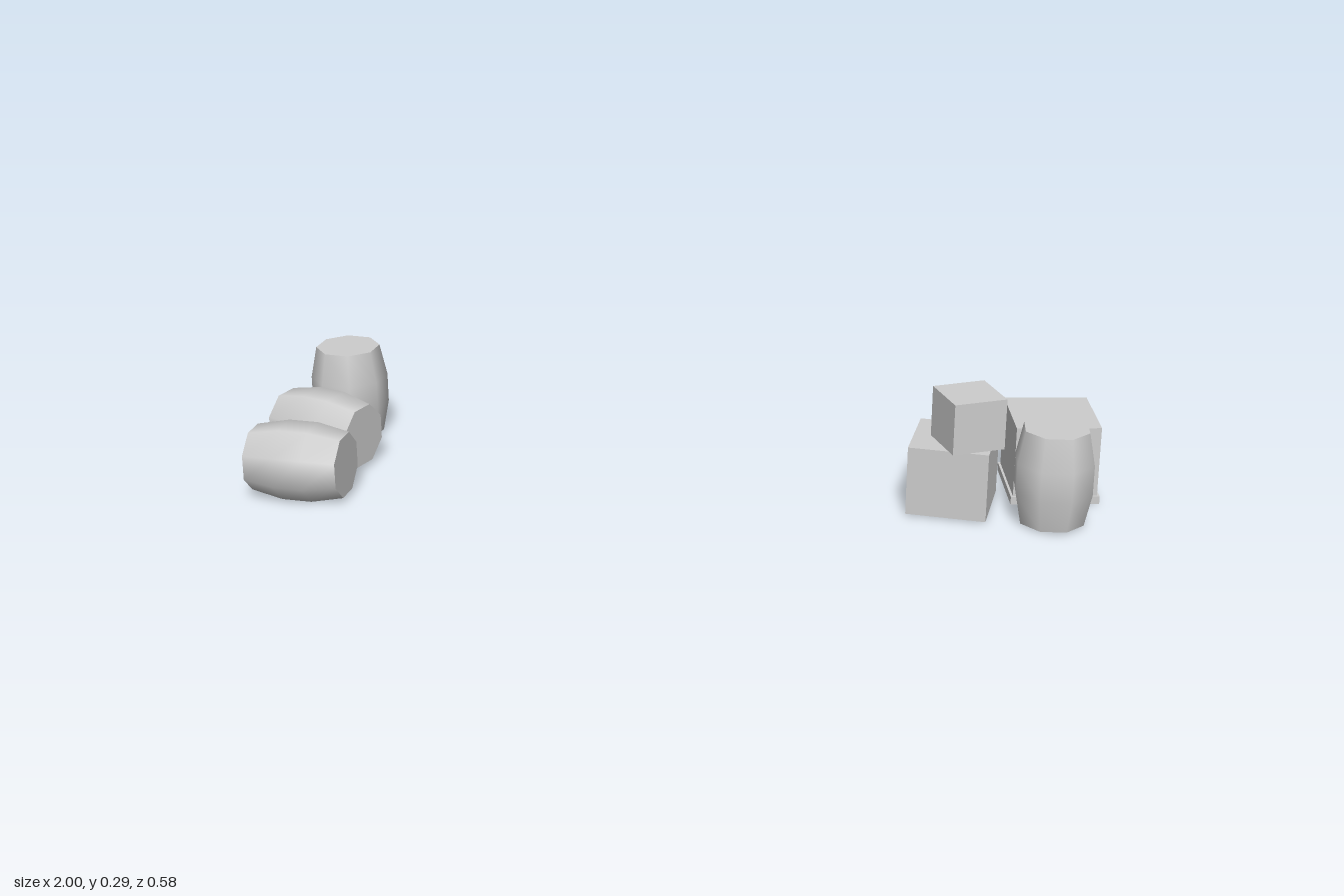
import * as THREE from 'three';

const DEG = Math.PI / 180;

export function createModel() {
  const model = new THREE.Group();
  const grey = new THREE.MeshStandardMaterial({ color: 0xcccccc, side: THREE.DoubleSide });
  grey.name = 'plain grey';

  const add = (parent, name, geometry) => {
    const mesh = new THREE.Mesh(geometry, grey);
    mesh.name = name;
    parent.add(mesh);
    return mesh;
  };

  // Eight-sided bulging barrel, centred on its middle, open underneath
  const half = 0.114;
  const profile = [[0.078, -half], [0.094, -0.036], [0.094, 0.036], [0.078, half]]
    .map(([r, y]) => new THREE.Vector2(r, y));
  const staves = new THREE.LatheGeometry(profile, 8);
  const lid = new THREE.CircleGeometry(0.078, 8).rotateX(-Math.PI / 2).translate(0, half, 0);

  const barrel = (name, x, y, z, spin, lying = false, turn = 0) => {
    const group = new THREE.Group();
    group.name = name;
    for (const [part, geometry] of [['staves', staves], ['lid', lid]]) {
      add(group, part, geometry).rotation.y = spin * DEG;
    }
    // A lying barrel tips its lid towards +x, then turns about the vertical
    group.rotation.set(0, turn * DEG, lying ? -Math.PI / 2 : 0, 'YZX');
    group.position.set(x, y, z);
    model.add(group);
  };

  barrel('uprightBarrelRight', -0.84, 0.119, -0.201, 11.8);
  barrel('uprightBarrelLeft', 0.879, 0.118, 0.202, 22.5);
  barrel('lyingBarrelBack', -0.863, 0.087, -0.018, 22.5, true, -24);
  barrel('lyingBarrelFront', -0.875, 0.087, 0.192, 22.5, true, -8.5);

  // Box without its bottom face
  const openBox = (w, h) => {
    const box = new THREE.BoxGeometry(w, h, w).translate(0, h / 2, 0);
    const index = Array.from(box.index.array);
    index.splice(18, 6);
    box.setIndex(index);
    box.clearGroups();
    return box;
  };

  const crate = (name, x, y, z, turn) => {
    const group = new THREE.Group();
    group.name = name;
    group.position.set(x, y, z);
    group.rotation.y = turn * DEG;
    model.add(group);
    return group;
  };

  // Large crate on a slightly wider base board
  const large = crate('largeCrate', 0.885, 0.004, 0.012, 5.3);
  add(large, 'crateBody', openBox(0.197, 0.189));
  add(large, 'baseBoard', new THREE.BoxGeometry(0.208, 0.019, 0.208).translate(0, 0.0095, 0));

  // Medium crate with a small one stacked on it
  add(crate('mediumCrate', 0.653, 0.004, 0.123, -10.3), 'crateBody', openBox(0.186, 0.166));
  add(crate('smallCrate', 0.682, 0.17, 0.154, 21.4), 'crateBody', openBox(0.128, 0.122));

  return model;
}
